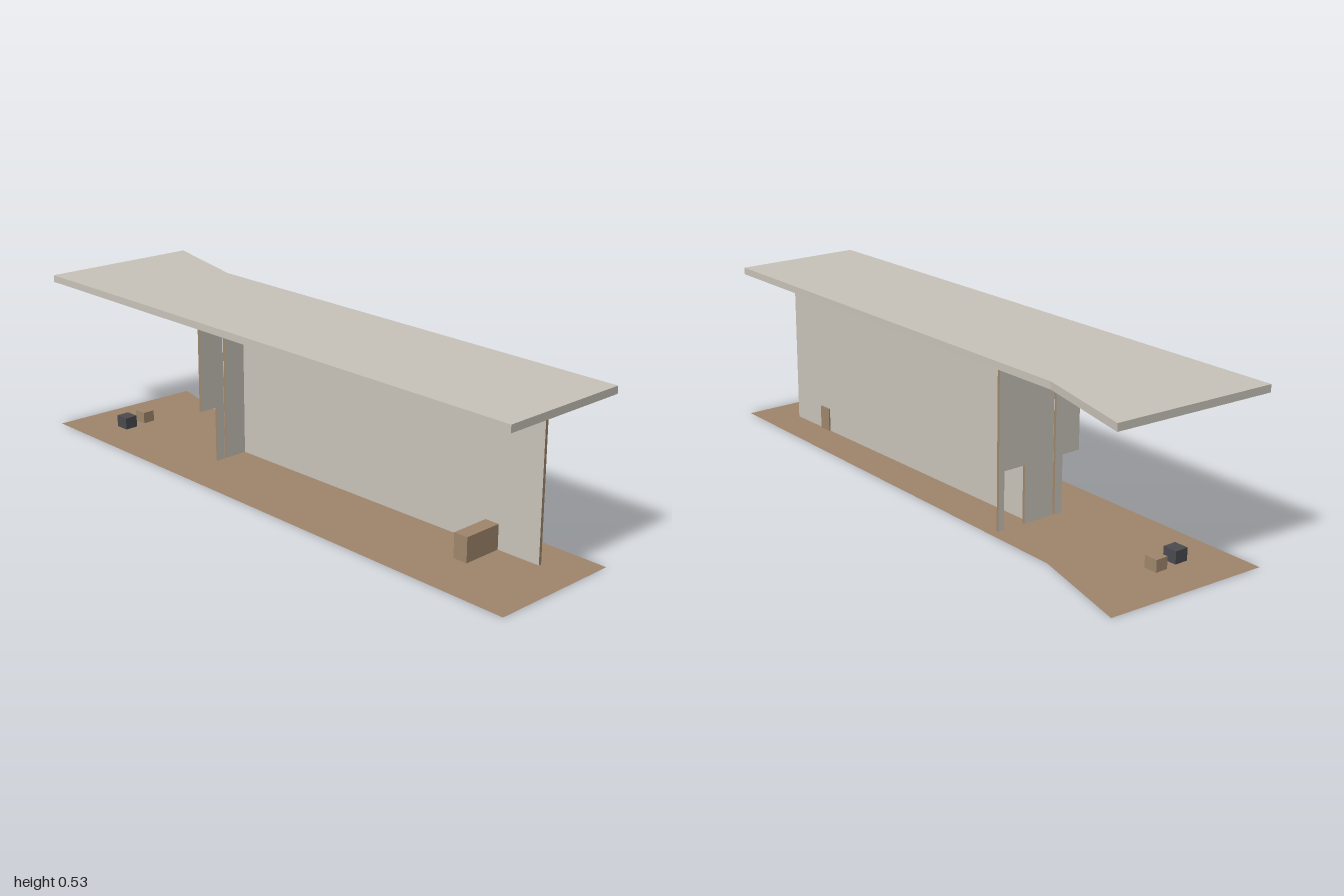
import * as THREE from 'three';

const CEILING = 0.503;

const concrete = new THREE.MeshStandardMaterial({ name: 'concrete', color: 0xc9c4ba });
const timber = new THREE.MeshStandardMaterial({ name: 'timber', color: 0xa0866c });
const floorTimber = new THREE.MeshStandardMaterial({ name: 'floorTimber', color: 0xa0866c, side: THREE.DoubleSide });
const charcoal = new THREE.MeshStandardMaterial({ name: 'charcoal', color: 0x4a4a50 });

const shapeOf = (points) => new THREE.Shape(points.map(([x, y]) => new THREE.Vector2(x, y)));

// Flat slab: first material on the faces, second on the edges
function slab(name, points, depth, materials) {
  const geometry = new THREE.ExtrudeGeometry(shapeOf(points), { depth, bevelEnabled: false });
  const mesh = new THREE.Mesh(geometry, materials);
  mesh.name = name;
  return mesh;
}

// Box given by its limits, standing on the ground
function block(name, [x0, x1], height, [z0, z1], material) {
  const mesh = new THREE.Mesh(new THREE.BoxGeometry(x1 - x0, height, z1 - z0), material);
  mesh.position.set((x0 + x1) / 2, height / 2, (z0 + z1) / 2);
  mesh.name = name;
  return mesh;
}

export function createModel() {
  const model = new THREE.Group();
  model.name = 'pavilion';

  // Shared plan of roof and floor, as (x, -z)
  const plan = [[-0.29, -1], [0.15, -1], [0.19, 0.62], [0.288, 0.975], [-0.248, 1]];

  const roof = slab('roof', plan, 0.023, concrete);
  roof.rotation.x = -Math.PI / 2;
  roof.position.y = CEILING;
  model.add(roof);

  const floor = new THREE.Mesh(new THREE.ShapeGeometry(shapeOf(plan)), floorTimber);
  floor.name = 'floor';
  floor.rotation.x = -Math.PI / 2;
  floor.position.y = 0.0005;
  model.add(floor);

  // Long spine wall with timber edges, drawn in (-z, y)
  const spine = slab('spineWall',
    [[-0.865, 0], [0.358, 0], [0.358, CEILING], [-0.865, CEILING]], 0.01, [concrete, timber]);
  spine.rotation.y = Math.PI / 2;
  spine.position.x = 0.025;
  model.add(spine);

  // Cross walls at the back end, with openings cut from below
  const crossWalls = {
    leftCrossWall: [[-0.053, 0], [0.055, 0], [0.055, 0.183], [0.133, 0.183], [0.133, 0],
      [0.153, 0], [0.153, CEILING], [-0.053, CEILING]],
    rightCrossWall: [[-0.09, 0], [-0.062, 0], [-0.062, CEILING], [-0.155, CEILING],
      [-0.155, 0.183], [-0.09, 0.183]],
  };
  for (const [name, points] of Object.entries(crossWalls)) {
    const wall = slab(name, points, 0.009, [concrete, timber]);
    wall.position.z = -0.366;
    model.add(wall);
  }

  // Counter passing through the spine wall, and two seats behind
  model.add(
    block('counter', [-0.108, 0.04], 0.079, [0.67, 0.718], timber),
    block('darkSeat', [-0.125, -0.08], 0.04, [-0.845, -0.797], charcoal),
    block('timberSeat', [-0.042, 0], 0.038, [-0.85, -0.805], timber),
  );

  return model;
}
